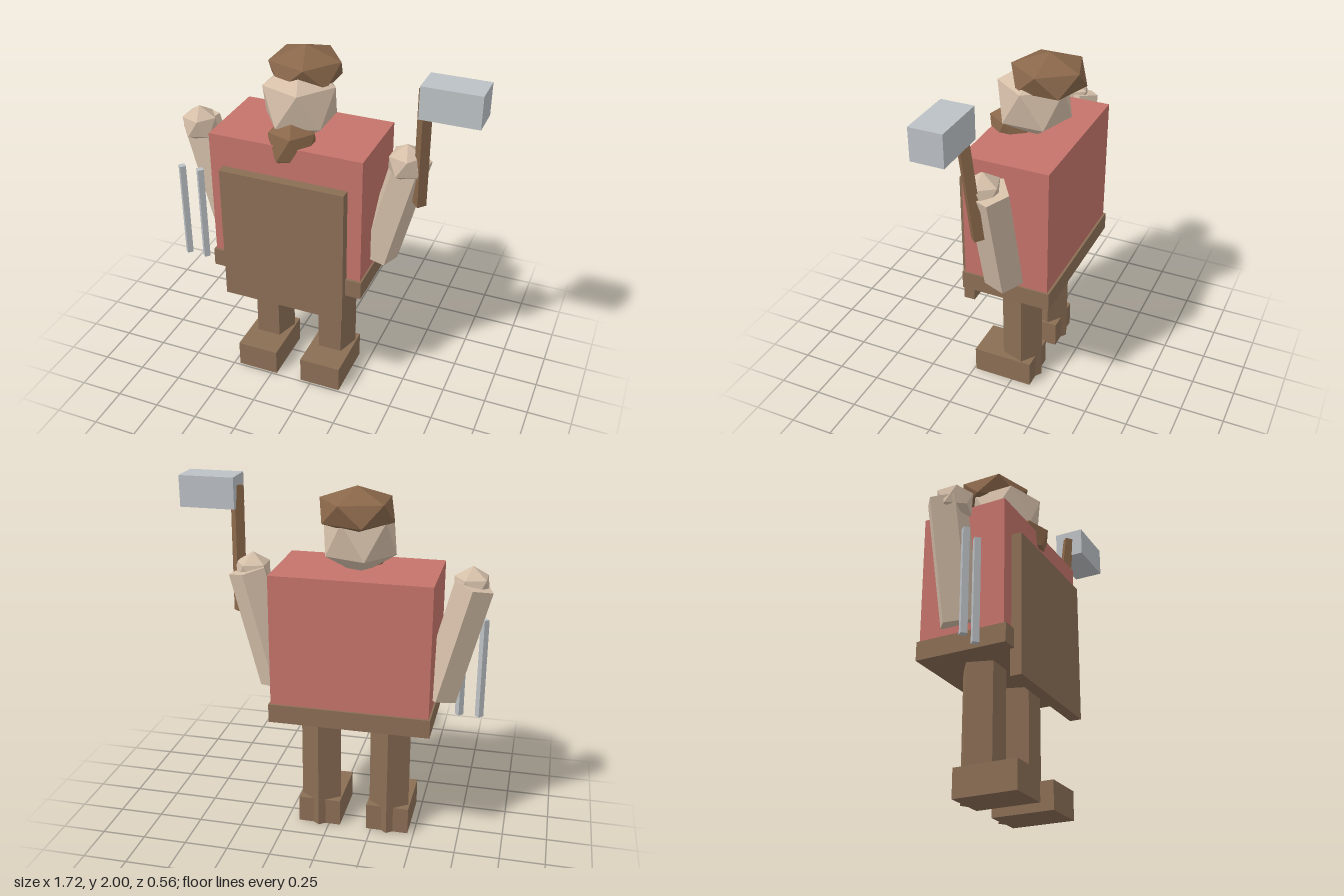
import * as THREE from 'three';

const CX = -0.143; // body's own centre line

function material(name, color) {
  const m = new THREE.MeshStandardMaterial({ color });
  m.name = name;
  return m;
}

// Box given by its lower and upper corners
function box(x0, x1, y0, y1, z0, z1) {
  const g = new THREE.BoxGeometry(x1 - x0, y1 - y0, z1 - z0);
  return g.translate((x0 + x1) / 2, (y0 + y1) / 2, (z0 + z1) / 2);
}

// Faceted prism; turn rotates its corners about the long axis
function prism(radius, length, sides, turn = 0) {
  const g = new THREE.CylinderGeometry(radius, radius, length, sides).rotateY(turn).toNonIndexed();
  g.computeVertexNormals();
  return g;
}

// Twenty-sided ball with one corner up and an upper ring corner towards +x
function ball(radius, yScale = 1) {
  const g = new THREE.IcosahedronGeometry(radius, 0);
  g.rotateX(-Math.atan((1 + Math.sqrt(5)) / 2)).rotateY(Math.PI / 2).scale(1, yScale, 1);
  g.computeVertexNormals();
  return g;
}

export function createModel() {
  const model = new THREE.Group();
  model.name = 'blacksmith';
  const red = material('red cloth', 0xc4736a);
  const leather = material('brown leather', 0x8b6e55);
  const hair = material('brown hair', 0x89674a);
  const skin = material('skin', 0xd4bea8);
  const steel = material('steel', 0xbcc1c5);

  function add(name, geometry, mat, x = 0, y = 0, z = 0) {
    const mesh = new THREE.Mesh(geometry, mat);
    mesh.name = name;
    mesh.position.set(x, y, z);
    model.add(mesh);
    return mesh;
  }

  // Torso and clothing
  add('torso', box(-0.578, 0.292, 0.8, 1.547, -0.267, 0.222), red);
  add('belt', box(-0.588, 0.302, 0.71, 0.815, -0.28, 0.238), leather);
  add('apron', box(-0.5, 0.212, 0.563, 1.365, 0.215, 0.28), leather);

  // Head, hair and beard
  add('head', ball(0.222), skin, CX, 1.725, 0);
  add('hair', ball(0.222, 0.563), hair, CX, 1.875, -0.08);
  add('beard', ball(0.144, 1.08), hair, -0.138, 1.535, 0.122);

  // Limbs, mirrored about the centre line
  for (const [side, s] of [['left', 1], ['right', -1]]) {
    const legX = CX + s * 0.2;
    add(side + 'Leg', prism(0.12, 0.75, 5, Math.PI), leather, legX, 0.375, -0.022);
    add(side + 'Foot', box(-0.122, 0.122, 0, 0.157, -0.117, 0.238), leather, legX);
    const arm = add(side + 'Arm', prism(0.11, 0.661, 5, Math.PI), skin, CX + s * 0.534, 1.176, -0.024);
    arm.rotation.z = -s * 0.252;
    add(side + 'Hand', ball(0.108), skin, CX + s * 0.6, 1.48, 0.017);
  }

  // Hammer: a slanted handle from bottom to top, and a block
  const low = new THREE.Vector3(0.537, 1.245, 0.012);
  const high = new THREE.Vector3(0.557, 1.935, 0.083);
  const along = high.clone().sub(low);
  const handle = add('hammerHandle', prism(0.038, along.length(), 4), hair);
  handle.position.copy(low).add(high).multiplyScalar(0.5);
  handle.quaternion.setFromUnitVectors(new THREE.Vector3(0, 1, 0), along.normalize());
  add('hammerHead', box(0.55, 0.858, 1.817, 1.99, 0, 0.176), steel);

  // Pair of tongs
  for (const x of [-0.815, -0.702]) add('tongBar', prism(0.024, 0.58, 4), steel, x, 0.965, 0.132);

  return model;
}
